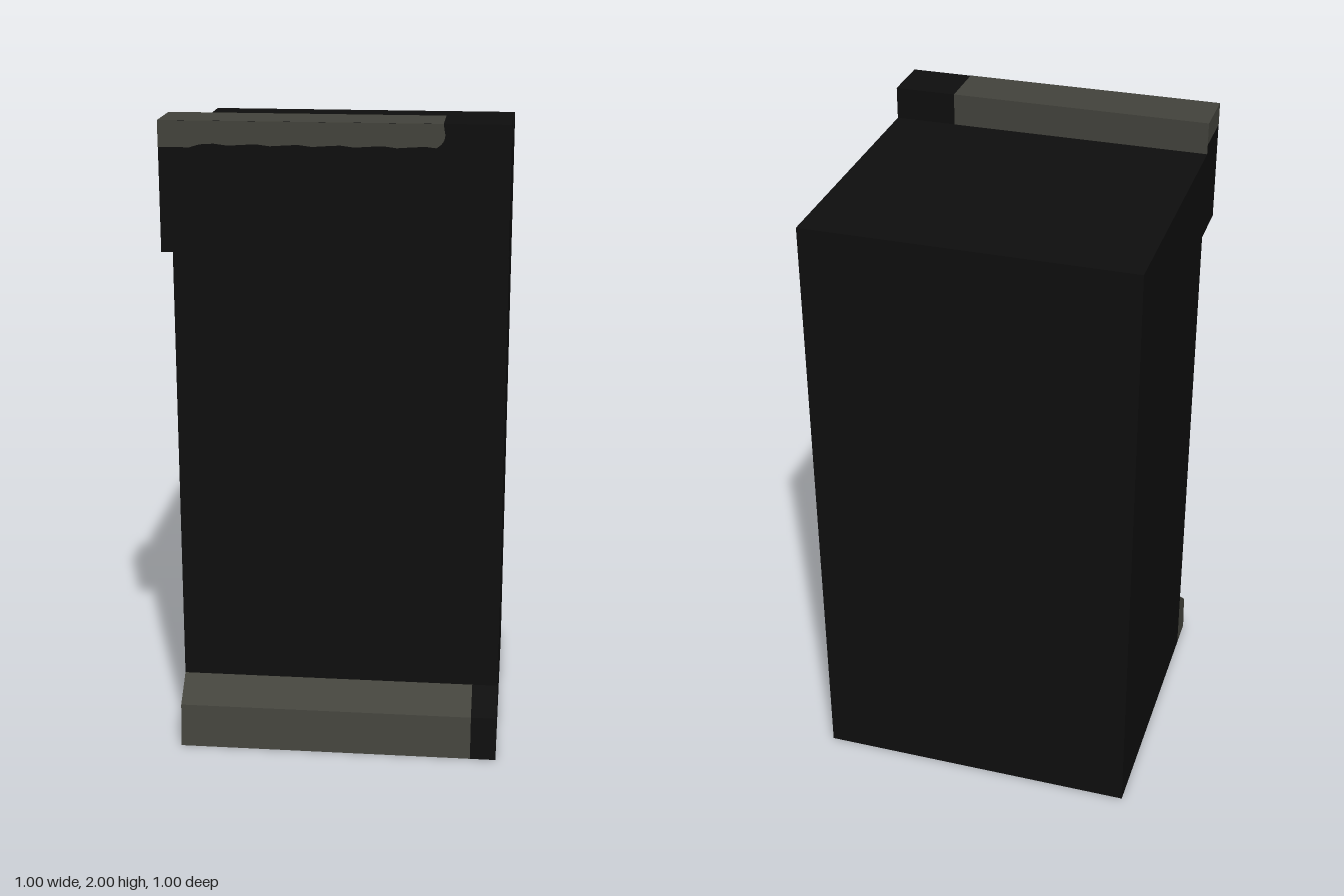
import * as THREE from 'three';

const dark = new THREE.MeshStandardMaterial({ color: 0x0e0e0e, side: THREE.DoubleSide });
dark.name = 'nearBlack';
const grey = new THREE.MeshStandardMaterial({ color: 0x43433c, side: THREE.DoubleSide });
grey.name = 'warmGrey';

const W = 0.5; // half width

export function createModel() {
  const group = new THREE.Group();

  const add = (name, geometry, material) => {
    const mesh = new THREE.Mesh(geometry, material);
    mesh.name = name;
    group.add(mesh);
    return mesh;
  };

  // Flat panels swept along x from x0 to x1, following a [z, y] profile
  const panels = (name, profile, x0, x1, material) => {
    const pos = [];
    for (let i = 0; i < profile.length - 1; i++) {
      const [za, ya] = profile[i];
      const [zb, yb] = profile[i + 1];
      pos.push(x0, ya, za, x1, ya, za, x1, yb, zb);
      pos.push(x0, ya, za, x1, yb, zb, x0, yb, zb);
    }
    const g = new THREE.BufferGeometry();
    g.setAttribute('position', new THREE.Float32BufferAttribute(pos, 3));
    g.computeVertexNormals();
    add(name, g, material);
  };

  // Flat end wall on the +x (side 1) or -x (side -1) end, outlined in [z, y]
  const endWall = (name, outline, side, material) => {
    const shape = new THREE.Shape(outline.map(([z, y]) => new THREE.Vector2(-side * z, y)));
    const g = new THREE.ShapeGeometry(shape);
    g.rotateY(side * Math.PI / 2);
    g.translate(side * W, 0, 0);
    add(name, g, material);
  };

  const skirt = [[0.433, 0], [0.417, 0.135], [0.333, 0.208]];
  const ledgeCap = [[0.5, 2], [0.333, 2], [0.333, 1.9]];

  // Main shell, open underneath
  panels('frontAndLedge', [[0.333, 0.208], [0.333, 1.62], [0.5, 1.62], [0.5, 2]], -W, W, dark);
  panels('topAndBack', [[0.333, 1.9], [-0.5, 1.9], [-0.5, 0]], -W, W, dark);

  // Skirt and ledge top, grey for most of the width and dark at the left end
  panels('skirt', skirt, -W, 0.42, grey);
  panels('skirtEnd', skirt, 0.42, W, dark);
  panels('ledgeTop', ledgeCap, -W, 0.31, grey);
  panels('ledgeTopEnd', ledgeCap, 0.31, W, dark);

  // End walls
  endWall('leftWall', [
    ...skirt, [0.333, 1.62], [0.5, 1.62], ...ledgeCap, [-0.5, 1.9], [-0.5, 0],
  ], 1, dark);
  endWall('rightWall', [
    [0.333, 0], [0.333, 1.62], [0.5, 1.62], [0.5, 1.93], [0.333, 1.93],
    [0.333, 1.9], [-0.5, 1.9], [-0.5, 0],
  ], -1, dark);
  endWall('rightSkirtWall', [[0.333, 0], ...skirt], -1, grey);
  endWall('rightLedgeWall', [[0.333, 1.93], [0.5, 1.93], [0.5, 2], [0.333, 2]], -1, grey);

  // Uneven grey edge along the front of the ledge
  const lip = new THREE.Shape();
  lip.moveTo(-W, 2);
  lip.lineTo(-W, 1.924);
  lip.lineTo(-0.41, 1.924);
  for (let i = 0; i <= 16; i++) {
    lip.lineTo(-0.38 + i * 0.04, 1.933 + 0.003 * Math.sin(i * 2.1));
  }
  lip.lineTo(0.29, 1.932);
  lip.quadraticCurveTo(0.315, 1.945, 0.315, 1.97);
  lip.lineTo(0.31, 2);
  add('ledgeFrontEdge', new THREE.ShapeGeometry(lip), grey).position.z = 0.502;

  return group;
}
